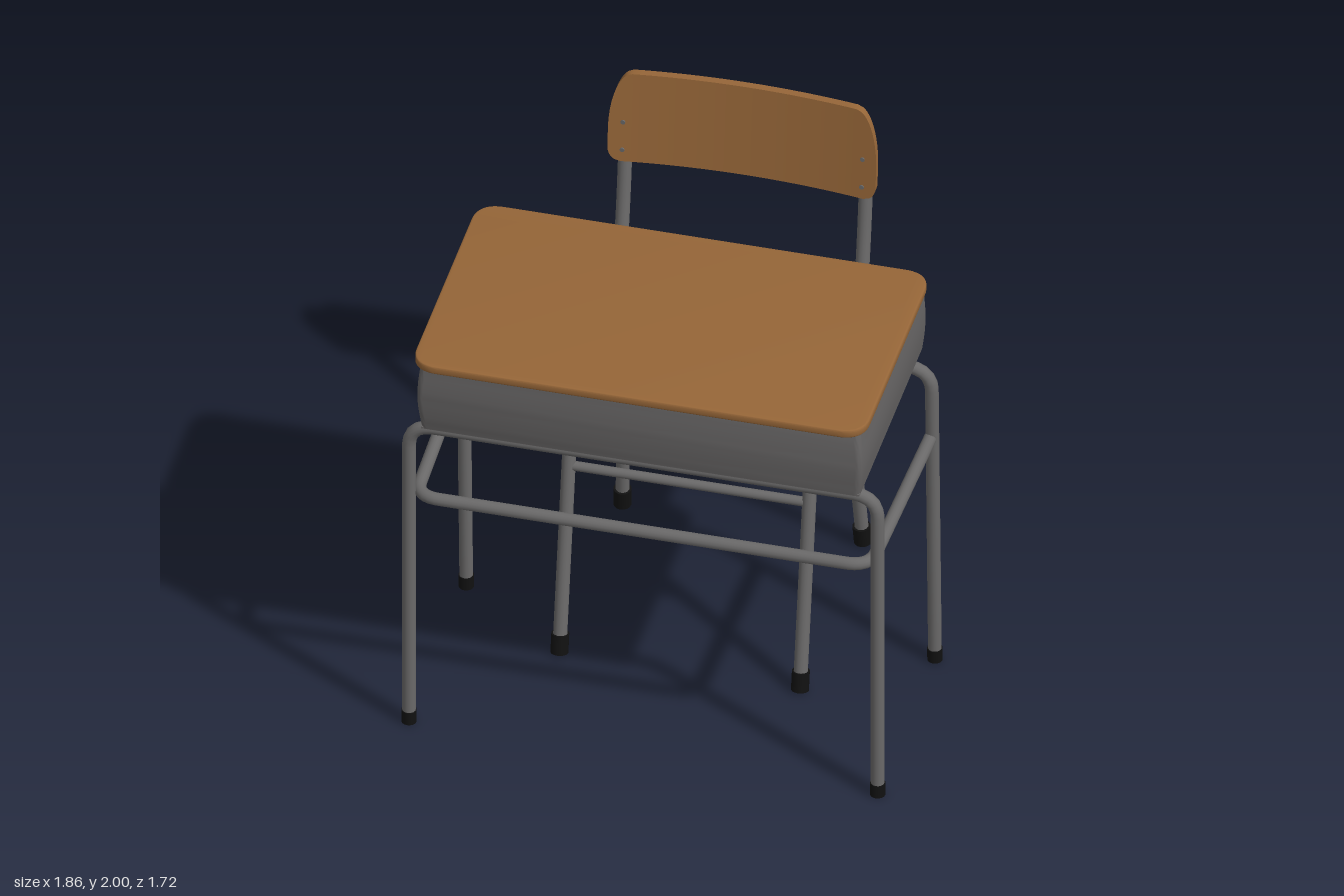
import * as THREE from 'three';
import { toCreasedNormals } from 'three/addons/utils/BufferGeometryUtils.js';

const V = (x, y, z) => new THREE.Vector3(x, y, z);

const material = (name, color, side = THREE.FrontSide) => {
  const m = new THREE.MeshStandardMaterial({ color, side });
  m.name = name;
  return m;
};

// Polyline with each inner corner rounded by its own radius
function roundedPath(points, radii) {
  const path = new THREE.CurvePath();
  let from = points[0];
  for (let i = 1; i < points.length - 1; i++) {
    const p = points[i];
    const a = p.clone().add(points[i - 1].clone().sub(p).setLength(radii[i - 1]));
    const b = p.clone().add(points[i + 1].clone().sub(p).setLength(radii[i - 1]));
    path.add(new THREE.LineCurve3(from, a));
    path.add(new THREE.QuadraticBezierCurve3(a, p, b));
    from = b;
  }
  path.add(new THREE.LineCurve3(from, points[points.length - 1]));
  return path;
}

// Finely divided unit box whose vertices are moved by a rule
function warpedBox(nx, ny, nz, rule) {
  const g = new THREE.BoxGeometry(1, 1, 1, nx, ny, nz);
  const pos = g.attributes.position;
  for (let i = 0; i < pos.count; i++) {
    const p = rule(pos.getX(i), pos.getY(i), pos.getZ(i));
    pos.setXYZ(i, p.x, p.y, p.z);
  }
  return toCreasedNormals(g, 0.6);
}

export function createModel() {
  const wood = material('wood', 0x966638);
  const metal = material('grey metal', 0x6a6969);
  const sheet = material('grey sheet metal', 0x656363, THREE.DoubleSide);
  const rubber = material('black rubber', 0x111111);

  const model = new THREE.Group();
  model.name = 'schoolDeskAndChair';
  const desk = new THREE.Group();
  desk.name = 'desk';
  const chair = new THREE.Group();
  chair.name = 'chair';
  model.add(desk, chair);

  const add = (parent, name, geometry, mat) => {
    const mesh = new THREE.Mesh(geometry, mat);
    mesh.name = name;
    parent.add(mesh);
    return mesh;
  };
  const tube = (parent, name, points, radii, r) =>
    add(parent, name, new THREE.TubeGeometry(roundedPath(points, radii), 40 * points.length, r, 14), metal);
  const rod = (parent, name, a, b, r, mat = metal) => {
    const mesh = add(parent, name, new THREE.CylinderGeometry(r, r, a.distanceTo(b), 16), mat);
    mesh.position.copy(a).lerp(b, 0.5);
    mesh.quaternion.setFromUnitVectors(V(0, 1, 0), b.clone().sub(a).normalize());
    return mesh;
  };
  // Rubber foot at the end of a leg, pointing along it
  const foot = (parent, end, next, r, h) =>
    rod(parent, 'foot', end, end.clone().add(next.clone().sub(end).setLength(h)), r, rubber);

  // Desk top: rounded board with a softened rim
  const w = 0.864, d = 0.504, c = 0.095;
  const board = new THREE.Shape();
  board.moveTo(-w + c, -d);
  board.lineTo(w - c, -d);
  board.quadraticCurveTo(w, -d, w, -d + c);
  board.lineTo(w, d - c);
  board.quadraticCurveTo(w, d, w - c, d);
  board.lineTo(-w + c, d);
  board.quadraticCurveTo(-w, d, -w, d - c);
  board.lineTo(-w, -d + c);
  board.quadraticCurveTo(-w, -d, -w + c, -d);
  const top = new THREE.ExtrudeGeometry(board, {
    depth: 0.02, bevelThickness: 0.007, bevelSize: 0.007, bevelSegments: 3, curveSegments: 12,
  });
  top.rotateX(-Math.PI / 2).translate(0, 1.725, 0.35);
  add(desk, 'deskTop', toCreasedNormals(top, 0.6), wood);

  // Book box: bulging walls around three sides, open at the back
  const backZ = -0.13, frontZ = 0.812, halfW = 0.843, rows = 10;
  const plan = [[-0.825, backZ], [-halfW, backZ + 0.004]];
  for (const s of [-1, 1]) {
    for (let i = 0; i <= 6; i++) {
      const t = (s < 0 ? i : 6 - i) / 6 * Math.PI / 2;
      plan.push([s * (halfW - 0.025 + 0.025 * Math.cos(t)), frontZ - 0.025 + 0.025 * Math.sin(t)]);
    }
  }
  plan.push([halfW, backZ + 0.004], [0.825, backZ]);
  const positions = [], index = [];
  for (let j = 0; j <= rows; j++) {
    const t = j / rows;
    const bulge = 0.013 * Math.sin(Math.PI * t);
    for (const [x, z] of plan) {
      positions.push(x * (1 + bulge / halfW), 1.42 + 0.302 * t, z > 0 ? z + bulge + 0.006 * t : z);
    }
  }
  const n = plan.length;
  for (let j = 0; j < rows; j++) {
    for (let i = 0; i < n - 1; i++) {
      const a = j * n + i;
      index.push(a, a + 1, a + n, a + 1, a + n + 1, a + n);
    }
  }
  const walls = new THREE.BufferGeometry();
  walls.setAttribute('position', new THREE.Float32BufferAttribute(positions, 3));
  walls.setIndex(index);
  add(desk, 'bookBoxWalls', toCreasedNormals(walls, 0.7), sheet);
  add(desk, 'bookBoxFloor', new THREE.BoxGeometry(1.684, 0.008, 0.938), sheet).position.set(0, 1.421, 0.341);
  add(desk, 'bookBoxBackLip', new THREE.BoxGeometry(1.68, 0.022, 0.008), sheet).position.set(0, 1.432, -0.124);

  // Desk legs: two upside-down U frames
  for (const [name, zFoot, zTop] of [['frontLegs', 0.76, 0.76], ['rearLegs', -0.095, -0.045]]) {
    const pts = [V(-0.9, 0.01, zFoot), V(-0.9, 1.39, zTop), V(0.9, 1.39, zTop), V(0.9, 0.01, zFoot)];
    tube(desk, name, pts, [0.1, 0.1], 0.026);
    foot(desk, V(-0.9, 0.001, zFoot), pts[1], 0.029, 0.055);
    foot(desk, V(0.9, 0.001, zFoot), pts[2], 0.029, 0.055);
  }

  // Stretcher bar running round the sides and front
  tube(desk, 'stretcher',
    [V(-0.895, 1.07, -0.055), V(-0.872, 1.07, 0.775), V(0.872, 1.07, 0.775), V(0.895, 1.07, -0.055)],
    [0.09, 0.09], 0.025);

  // Chair main frame: front legs, seat rails, uprights and top rail in one bent tube
  const half = [V(0.462, 0.012, 0.218), V(0.462, 1.093, 0.025), V(0.462, 1.093, -0.672),
    V(0.462, 1.4, -0.735), V(0.462, 1.94, -0.808)];
  const mirror = (p) => V(-p.x, p.y, p.z);
  tube(chair, 'mainFrame',
    [...half, V(0, 1.94, -0.842), ...half.map(mirror).reverse()],
    [0.13, 0.12, 0.12, 0.12, 0.3, 0.12, 0.12, 0.12, 0.13], 0.027);

  // Chair rear legs: narrower U frame under the seat
  const rear = [V(0.462, 0.012, -0.722), V(0.418, 1.075, -0.578)];
  tube(chair, 'rearLegs', [...rear, ...rear.map(mirror).reverse()], [0.05, 0.05], 0.026);

  // Crossbars and feet
  for (const [a, b, name] of [[half[0], half[1], 'frontCrossbar'], [rear[0], rear[1], 'rearCrossbar']]) {
    const p = a.clone().lerp(b, 0.71);
    rod(chair, name, p, mirror(p), 0.019);
    const end = a.clone().setY(0.006);
    foot(chair, end, b, 0.034, 0.08);
    foot(chair, mirror(end), mirror(b), 0.034, 0.08);
  }

  // Seat: thin board, front edge rolled down, tapered at the back
  const seatY = (z) => z > -0.08 ? 1.136 - 0.034 * ((z + 0.08) / 0.2) ** 2 : 1.136 - (z + 0.08) * 0.024;
  const seat = warpedBox(8, 1, 40, (u, v, k) => {
    const z = -0.28 + 0.8 * k;
    let hw = 0.49;
    if (z < -0.2) hw -= 0.035 * ((-0.2 - z) / 0.4) ** 2;
    if (z < -0.6) hw -= 0.025 * ((-0.6 - z) / 0.08) ** 2;
    if (z > 0.08) hw -= 0.03 * ((z - 0.08) / 0.04) ** 2;
    return V(2 * u * hw, seatY(z) + (v - 0.5) * 0.018, z);
  });
  add(chair, 'seat', seat, wood);

  // Backrest: curved, leaning board with rounded corners
  const restZ = (x, y) => -0.697 - 0.105 * (y - 1.63) - 0.041 * (1 - (x / 0.52) ** 2);
  const rest = warpedBox(24, 48, 1, (u, v, k) => {
    const y = 1.81 + 0.38 * v;
    let hw = 0.515;
    if (y > 1.76) hw -= 0.085 * (1 - Math.sqrt(Math.max(0, 1 - ((y - 1.76) / 0.24) ** 2)));
    if (y < 1.68) hw -= 0.05 * (1 - Math.sqrt(Math.max(0, 1 - ((1.68 - y) / 0.06) ** 2)));
    const x = 2 * u * hw;
    return V(x, y, restZ(x, y) - 0.015 + 0.03 * k);
  });
  add(chair, 'backrest', rest, wood);

  // Screw heads
  for (const s of [-1, 1]) {
    for (const y of [1.67, 1.79]) {
      const z = restZ(0.46, y);
      rod(chair, 'backrestScrew', V(s * 0.46, y, z - 0.004), V(s * 0.46, y, z + 0.004), 0.009);
    }
    const y = seatY(-0.61);
    rod(chair, 'seatScrew', V(s * 0.365, y - 0.004, -0.61), V(s * 0.365, y + 0.004, -0.61), 0.009);
  }
  return model;
}
